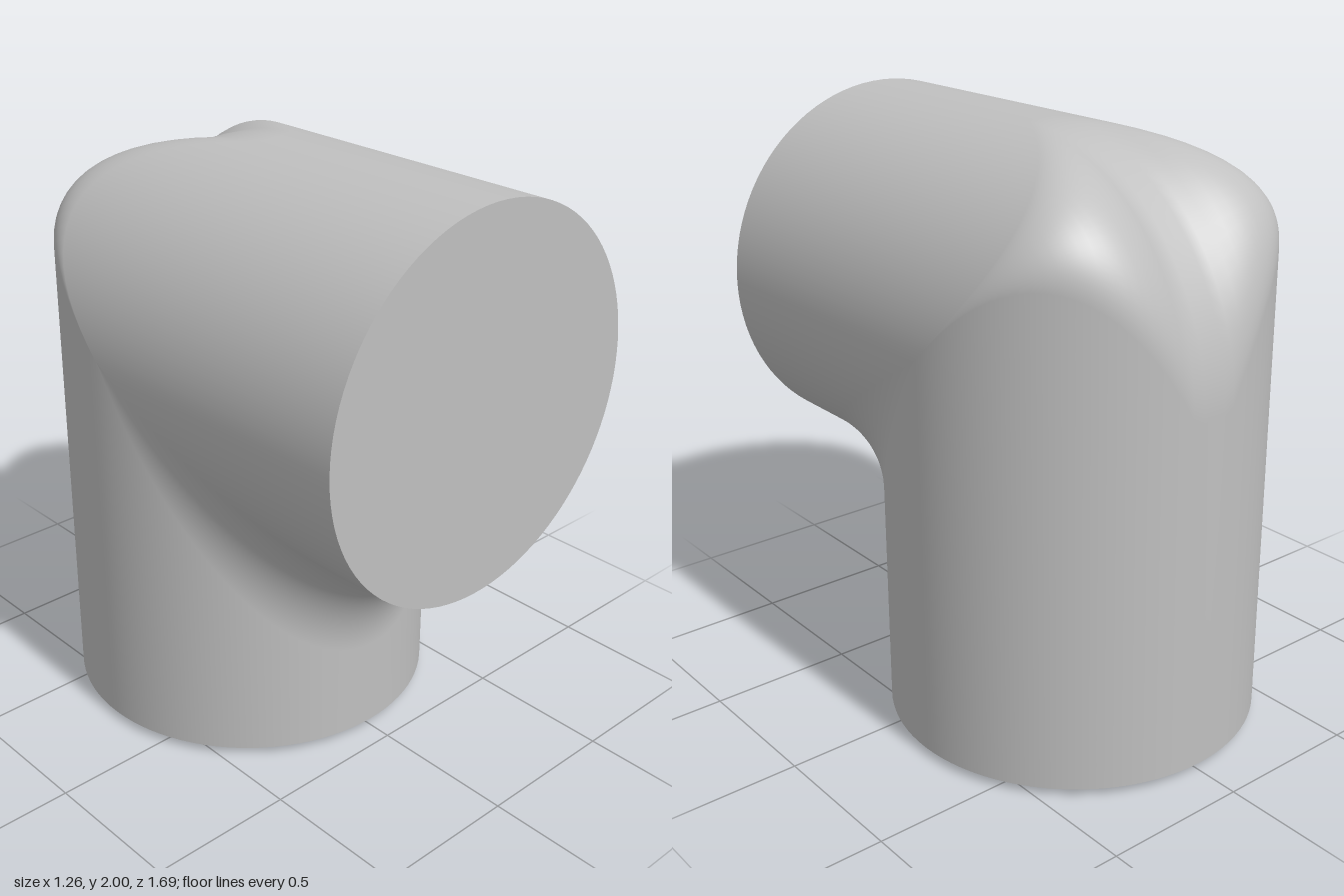
import * as THREE from 'three';

const R = 0.63;                       // pipe radius
const AXIS_Y = 1.37, AXIS_Z = -0.215; // where the two pipe axes cross
const FRONT = 0.845, BOTTOM = 0.025;
const INNER = 0.4;                    // fillet radius of the inside corner
const SIDES = 96, STEPS = 20;

// Line along both pipes at angle t around the section (t = 0 is the outer side)
function bendLine(t) {
  const sn = Math.sin(t), cs = Math.cos(t), x = R * sn, c = R * cs;
  const pts = [[x, AXIS_Y + c, FRONT]];
  // outer rounding is widest in the middle and fades towards the sides
  const d = 0.78 * Math.pow(Math.max(0, R - Math.max(Math.abs(x), 0.07)) / (R - 0.07), 1.35);
  for (let j = 0; j <= STEPS; j++) {
    const u = j / STEPS, a = u * Math.PI / 2;
    if (cs > 0) {
      const k = Math.min(d, 1.3 * c);
      pts.push([x, AXIS_Y + c - k + k * Math.cos(a), AXIS_Z - c + k - k * Math.sin(a)]);
    } else {
      // rolling-ball fillet between the two cylinders
      const n = new THREE.Vector3(sn, cs * Math.cos(a), -cs * Math.sin(a));
      n.set(sn * (Math.cos(a) + Math.sin(a)), n.y, n.z).normalize();
      const q = R + INNER;
      pts.push([q * sn - INNER * n.x, AXIS_Y + q * cs - INNER * n.y, AXIS_Z - q * cs - INNER * n.z]);
    }
  }
  pts.push([x, BOTTOM, AXIS_Z - c]);
  return pts;
}

function elbowGeometry() {
  const pos = [], index = [], row = STEPS + 3;
  for (let i = 0; i < SIDES; i++) {
    for (const p of bendLine(i / SIDES * Math.PI * 2)) pos.push(...p);
    const n = (i + 1) % SIDES;
    for (let j = 0; j < row - 1; j++) {
      const a = i * row + j, b = n * row + j;
      index.push(a, b, a + 1, b, b + 1, a + 1);
    }
  }
  const g = new THREE.BufferGeometry();
  g.setAttribute('position', new THREE.Float32BufferAttribute(pos, 3));
  g.setIndex(index);
  g.computeVertexNormals();
  return g;
}

export function createModel() {
  const group = new THREE.Group();
  group.name = 'pipeElbow';
  const grey = new THREE.MeshStandardMaterial({ color: 0xc0c0c0 });
  grey.name = 'grey';
  const add = (name, geometry) => {
    const mesh = new THREE.Mesh(geometry, grey);
    mesh.name = name;
    group.add(mesh);
    return mesh;
  };

  // Two pipes with their blended corner
  add('elbowBody', elbowGeometry());

  // Flat ends
  add('frontCap', new THREE.CircleGeometry(R, SIDES)).position.set(0, AXIS_Y, FRONT);
  const under = add('bottomCap', new THREE.CircleGeometry(R, SIDES));
  under.rotation.x = Math.PI / 2;
  under.position.set(0, BOTTOM, AXIS_Z);

  // Raised disc under the upright pipe
  add('baseDisc', new THREE.CylinderGeometry(0.53, 0.53, BOTTOM, SIDES))
    .position.set(0, BOTTOM / 2, AXIS_Z);

  return group;
}
